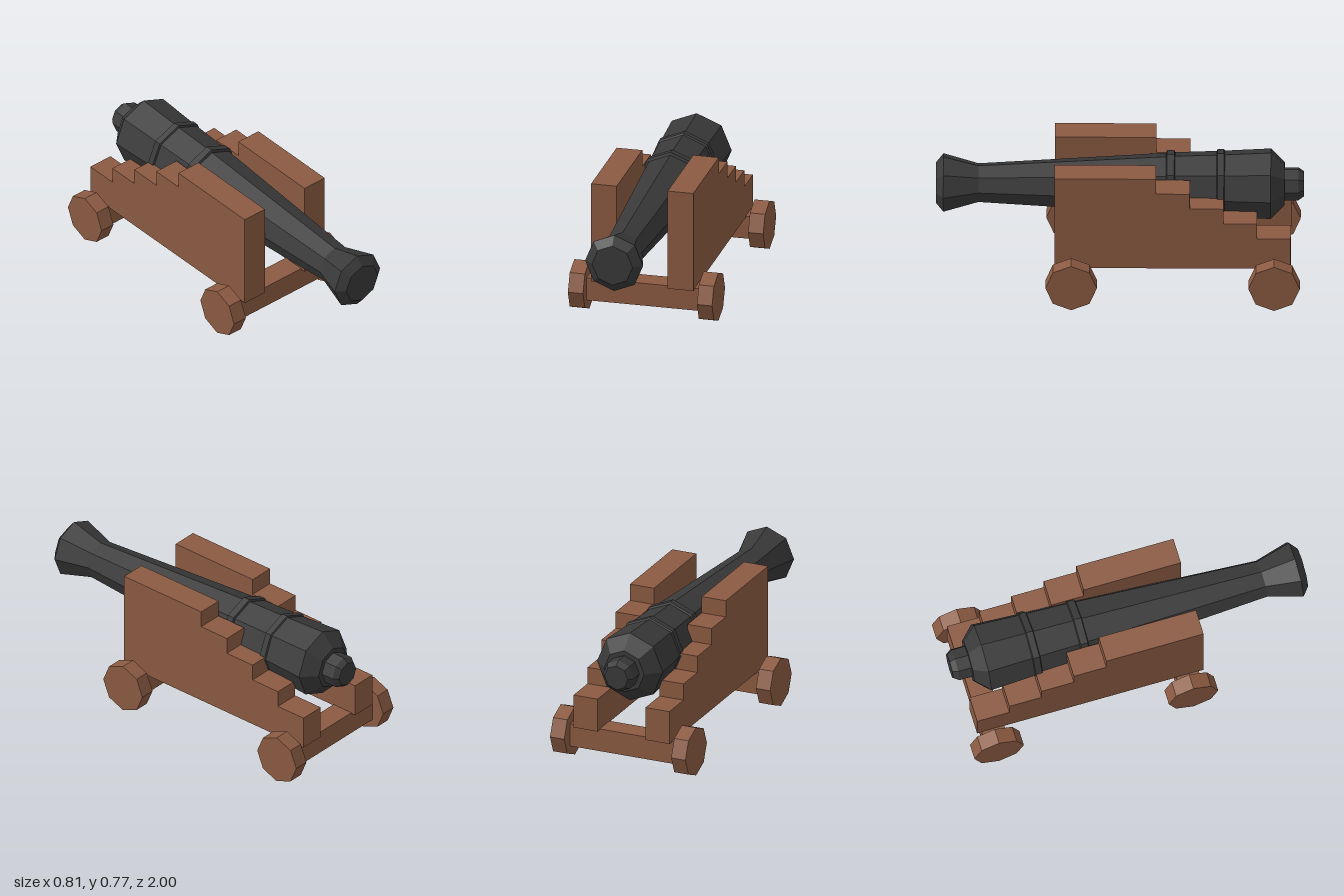
import * as THREE from 'three';

export function createModel() {
  const model = new THREE.Group();
  model.name = 'cannon';

  const wood = new THREE.MeshStandardMaterial({ color: 0x8b5a42, flatShading: true });
  wood.name = 'brown wood';
  const iron = new THREE.MeshStandardMaterial({ color: 0x393939, flatShading: true });
  iron.name = 'dark iron';

  const add = (name, geometry, material, x, y, z) => {
    const mesh = new THREE.Mesh(geometry, material);
    mesh.name = name;
    mesh.position.set(x, y, z);
    model.add(mesh);
  };

  // Eight-sided barrel, turned along z: [radius, z] from rear knob to muzzle
  const profile = [
    [0, -1], [0.07, -1], [0.092, -0.97], [0.092, -0.895], [0.12, -0.895],
    [0.197, -0.82], [0.184, -0.57], [0.192, -0.565], [0.192, -0.53], [0.182, -0.525],
    [0.174, -0.3], [0.185, -0.295], [0.185, -0.255], [0.17, -0.25],
    [0.108, 0.77], [0.163, 0.96], [0.114, 1], [0, 1],
  ].map(([r, z]) => new THREE.Vector2(r, z));
  const barrel = new THREE.LatheGeometry(profile, 8);
  barrel.rotateX(Math.PI / 2);
  add('barrel', barrel, iron, 0, 0.5625, 0);

  // Stepped carriage cheek, drawn with shape x = -z
  const cheek = new THREE.Shape();
  cheek.moveTo(-0.355, 0.197);
  cheek.lineTo(0.93, 0.197);
  const stepEnds = [0.93, 0.747, 0.565, 0.381, 0.197];
  stepEnds.forEach((end, i) => {
    const y = 0.387 + i * 0.095;
    cheek.lineTo(end, y);
    cheek.lineTo(stepEnds[i + 1] ?? -0.355, y);
  });
  const cheekGeometry = new THREE.ExtrudeGeometry(cheek, { depth: 0.144, bevelEnabled: false });
  cheekGeometry.translate(0, 0, -0.072);
  cheekGeometry.rotateY(Math.PI / 2);

  // Axles and eight-sided wheels
  const axle = new THREE.BoxGeometry(0.65, 0.13, 0.128);
  const wheel = new THREE.CylinderGeometry(0.14, 0.14, 0.085, 8);
  wheel.rotateZ(Math.PI / 2);
  const axles = [['front', 0.263], ['rear', -0.84]];
  for (const [end, z] of axles) add(`${end}Axle`, axle, wood, 0, 0.138, z);

  for (const [side, s] of [['Left', 1], ['Right', -1]]) {
    add(`cheek${side}`, cheekGeometry, wood, s * 0.215, 0, 0);
    for (const [end, z] of axles) add(`${end}Wheel${side}`, wheel, wood, s * 0.3625, 0.14, z);
  }

  return model;
}
